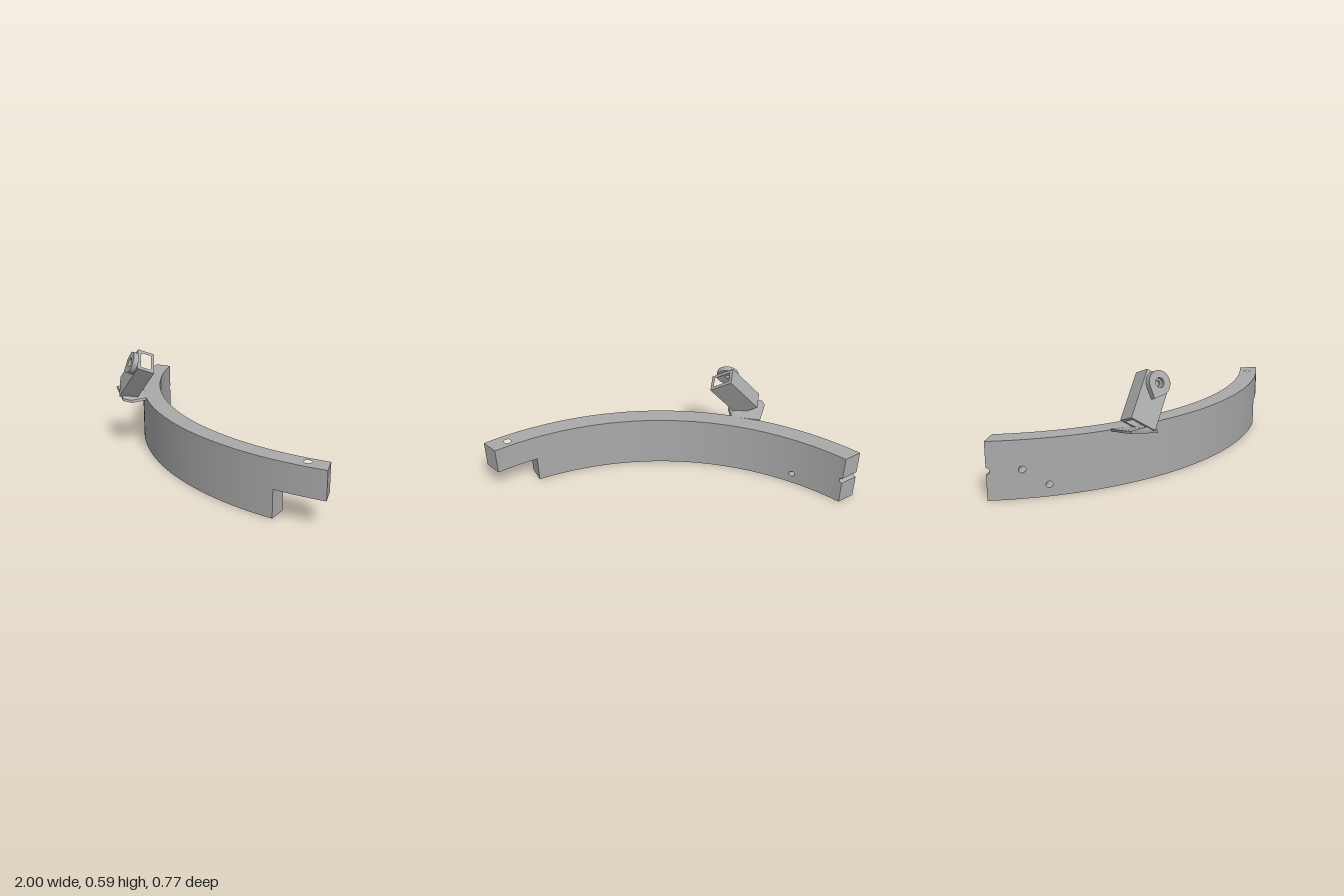
import * as THREE from 'three';
import { ConvexGeometry } from 'three/addons/geometries/ConvexGeometry.js';

const CX = 0.37, CZ = -1.26, R_OUT = 1.645, R_IN = 1.541, H = 0.3;

// Point on a circle around the ring centre, as (x, z)
const onArc = (r, deg) => {
  const a = THREE.MathUtils.degToRad(deg);
  return new THREE.Vector2(CX + r * Math.cos(a), CZ + r * Math.sin(a));
};

// Plan outline between two outer angles and two inner angles
function arcShape(outA, outB, inA, inB, n) {
  const pts = [];
  for (let i = 0; i <= n; i++) pts.push(onArc(R_OUT, outA + (outB - outA) * i / n));
  for (let i = n; i >= 0; i--) pts.push(onArc(R_IN, inA + (inB - inA) * i / n));
  return new THREE.Shape(pts);
}

// Extrude a plan outline upwards from y0 to y1
function extrudeUp(shape, y0, y1) {
  const geo = new THREE.ExtrudeGeometry(shape, { depth: y1 - y0, bevelEnabled: false, curveSegments: 24 });
  return geo.rotateX(Math.PI / 2).translate(0, y1, 0);
}

// Wall panel drawn as (minus angle, height), then bent onto the ring.
// w0..w1 is the depth range: 0 at the inner face, 1 at the outer face.
function bentPanel(shape, w0, w1) {
  const geo = new THREE.ExtrudeGeometry(shape, { depth: w1 - w0, bevelEnabled: false, curveSegments: 20 });
  const p = geo.attributes.position;
  for (let i = 0; i < p.count; i++) {
    const a = -p.getX(i), w = w0 + p.getZ(i);
    const skew = 1 + (146.4 - a) * 0.1;
    const q = onArc(R_IN, a - skew).lerp(onArc(R_OUT, a), w);
    p.setXYZ(i, q.x, p.getY(i), q.y);
  }
  geo.computeVertexNormals();
  return geo;
}

const panelShape = (a0, a1) => new THREE.Shape([
  new THREE.Vector2(-a0, 0), new THREE.Vector2(-a1, 0),
  new THREE.Vector2(-a1, H), new THREE.Vector2(-a0, H)]);

function circleHole(x, y, rx, ry = rx) {
  const hole = new THREE.Path();
  hole.absellipse(x, y, rx, ry, 0, Math.PI * 2, true);
  return hole;
}

export function createModel() {
  const group = new THREE.Group();
  const grey = new THREE.MeshStandardMaterial({ color: 0xaaaaaa });
  grey.name = 'grey';
  const add = (name, geo, parent = group) => {
    const mesh = new THREE.Mesh(geo, grey);
    mesh.name = name;
    parent.add(mesh);
    return mesh;
  };

  // Curved rail
  add('railBody', extrudeUp(arcShape(134, 76.8, 131.76, 76.9, 60), 0, H));

  // Raised tongue with a vertical bolt hole
  const tongue = arcShape(76.8, 67.5, 76.9, 68.1, 10);
  tongue.holes.push(circleHole(0.87, 0.245, 0.02));
  add('railTongue', extrudeUp(tongue, H / 2, H));

  // Drilled end of the rail
  const drilled = new THREE.Group();
  drilled.name = 'drilledEnd';
  group.add(drilled);
  const rY = 0.017, rA = 0.61;
  const cuts = [146.4, 145, 143.8, 142.5, 141.3, 139.7, 138.4, 136.9, 135.3, 134];
  for (let i = 0; i < cuts.length - 1; i++) {
    const a0 = cuts[i], a1 = cuts[i + 1];
    const shape = panelShape(a0, a1);
    if (i === 0) {
      // half-round groove across the end face
      const s = new THREE.Shape();
      s.moveTo(-a0, 0).lineTo(-a1, 0).lineTo(-a1, H).lineTo(-a0, H).lineTo(-a0, 0.15 + rY);
      s.absellipse(-a0, 0.15, rA, rY, Math.PI / 2, -Math.PI / 2, true);
      add('groovedPanel', bentPanel(s, 0, 1), drilled);
    } else if (i === 4) {
      // blind hole
      add('blindHoleBack', bentPanel(shape, 0, 0.4), drilled);
      const front = panelShape(a0, a1);
      front.holes.push(circleHole(-140.5, 0.15, rA, rY));
      add('blindHolePanel', bentPanel(front, 0.4, 1), drilled);
    } else {
      // through hole near the foot
      if (i === 7) shape.holes.push(circleHole(-136.1, 0.062, rA, rY));
      add('panel', bentPanel(shape, 0, 1), drilled);
    }
  }

  // Tilted square tube: local x across, y along the long side, z along its axis
  const corner = new THREE.Vector3(-0.305, 0.475, 0.21);
  const axis = new THREE.Vector3(0.66, 0.75, -0.03).normalize();
  const across = new THREE.Vector3(-0.45, 0.3, 0.85);
  across.addScaledVector(axis, -across.dot(axis)).normalize();
  const tall = new THREE.Vector3().crossVectors(axis, across);
  const holder = new THREE.Group();
  holder.name = 'holder';
  holder.applyMatrix4(new THREE.Matrix4().makeBasis(across, tall, axis).setPosition(corner));
  group.add(holder);

  const W = 0.1, T = 0.147, L = 0.265, wall = 0.02;
  // the tall side runs up from the given corner
  const up = tall.y > 0 ? 1 : -1;
  const rect = (x0, y0, x1, y1) => [[x0, y0], [x1, y0], [x1, y1], [x0, y1]]
    .map(([x, y]) => new THREE.Vector2(x, y * up));
  const tube = new THREE.Shape(rect(0, 0, W, T));
  tube.holes.push(new THREE.Path(rect(wall, wall, W - wall, T - wall)));
  add('holderTube', new THREE.ExtrudeGeometry(tube, { depth: L, bevelEnabled: false }).translate(0, 0, -L), holder);

  // Teardrop boss on the side of the tube, with a stepped hole
  const r = 0.062;
  const teardrop = (holeR) => {
    const s = new THREE.Shape();
    s.absarc(0, 0, r, -Math.PI / 4, Math.PI * 5 / 4, false);
    s.lineTo(0, -r * Math.SQRT2);
    s.closePath();
    s.holes.push(circleHole(0, 0, holeR));
    return s;
  };
  const boss = new THREE.Group();
  boss.name = 'boss';
  // boss outline points down the tube axis, thickness goes outwards
  boss.applyMatrix4(new THREE.Matrix4().makeBasis(
    new THREE.Vector3(0, 1, 0), new THREE.Vector3(0, 0, 1), new THREE.Vector3(1, 0, 0))
    .setPosition(W, up * T / 2, -0.045));
  holder.add(boss);
  const layer = (depth, holeR) => new THREE.ExtrudeGeometry(teardrop(holeR),
    { depth, bevelEnabled: false, curveSegments: 32 });
  add('bossBase', layer(0.012, 0.014), boss);
  add('bossRim', layer(0.018, 0.025).translate(0, 0, 0.012), boss);

  // Thin sloping foot joining the tube to the rail
  const top = [
    [-0.575, 0.305, 0.085], [-0.642, 0.332, 0.19], [-0.64, 0.335, 0.235],
    [-0.54, 0.335, 0.275], [-0.49, 0.305, 0.3], [-0.445, 0.298, 0.27], [-0.43, 0.298, 0.17],
  ];
  const footPoints = top.flatMap(([x, y, z]) => [
    new THREE.Vector3(x, y, z), new THREE.Vector3(x + 0.005, y - 0.014, z)]);
  add('footPlate', new ConvexGeometry(footPoints));

  return group;
}
